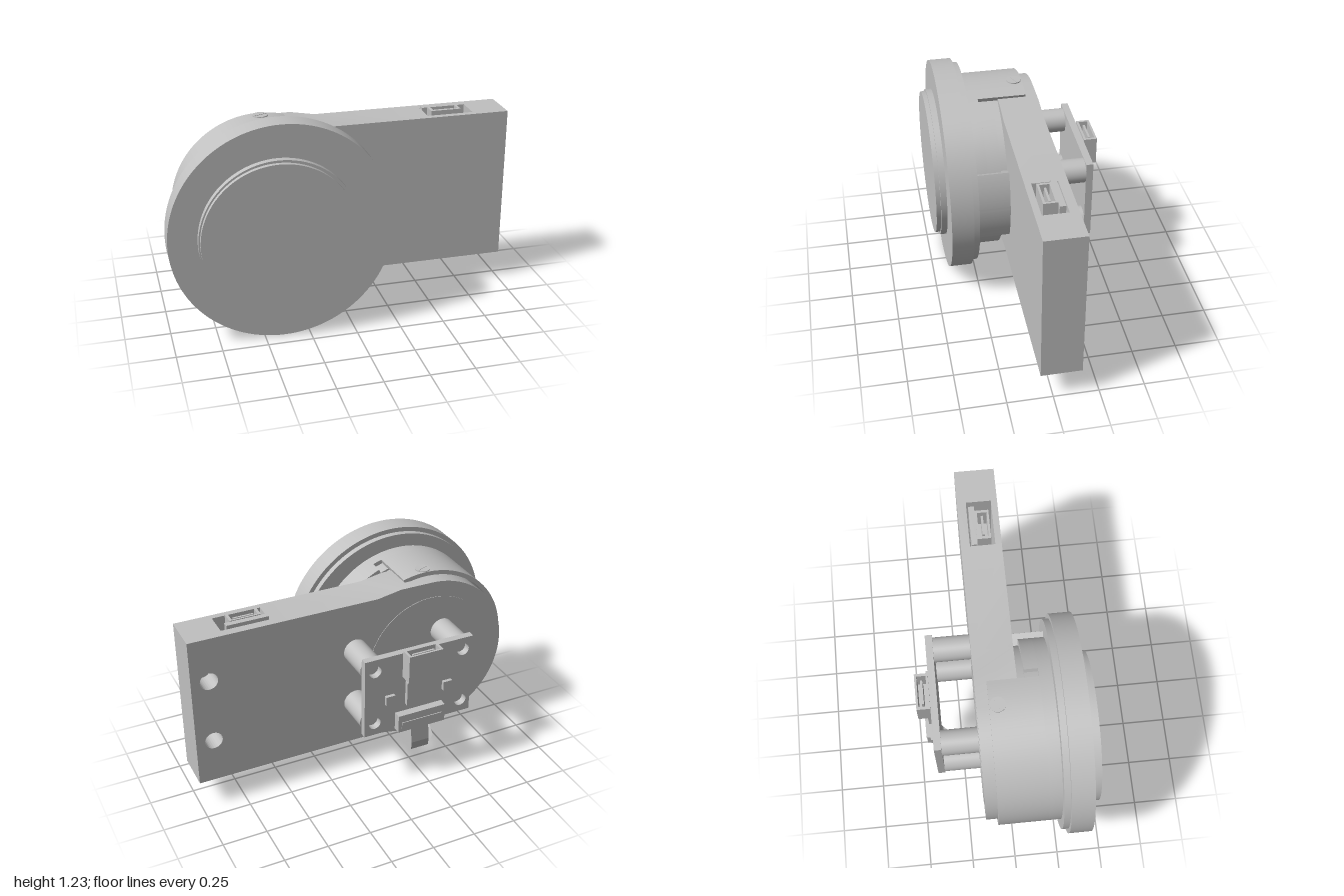
import * as THREE from 'three';
import { toCreasedNormals } from 'three/addons/utils/BufferGeometryUtils.js';

const CX = -0.41, CY = 0.617; // housing axis

export function createModel() {
  const model = new THREE.Group();
  model.name = 'wheelModule';
  const grey = new THREE.MeshStandardMaterial({ color: 0xc0c0c0, side: THREE.DoubleSide });
  grey.name = 'grey';

  function add(name, geometry, x = 0, y = 0, z = 0) {
    const mesh = new THREE.Mesh(geometry, grey);
    mesh.name = name;
    mesh.position.set(x, y, z);
    model.add(mesh);
    return mesh;
  }
  // box given by its limits
  const box = (name, x0, x1, y0, y1, z0, z1) =>
    add(name, new THREE.BoxGeometry(x1 - x0, y1 - y0, z1 - z0), (x0 + x1) / 2, (y0 + y1) / 2, (z0 + z1) / 2);
  // cylinder along z
  const disc = (name, x, y, r, z0, z1, seg = 96) =>
    add(name, new THREE.CylinderGeometry(r, r, z1 - z0, seg).rotateX(Math.PI / 2), x, y, (z0 + z1) / 2);
  // outline in xy, extruded along z
  const slab = (name, shape, z0, z1, x = 0, y = 0) =>
    add(name, toCreasedNormals(new THREE.ExtrudeGeometry(shape,
      { depth: z1 - z0, bevelEnabled: false, curveSegments: 48 }), 0.5), x, y, z0);
  // part of a ring around the housing axis, angles in degrees
  function ring(name, r0, r1, a0, a1, z0, z1) {
    const s = new THREE.Shape(), k = Math.PI / 180;
    s.absarc(0, 0, r1, a0 * k, a1 * k, false);
    s.absarc(0, 0, r0, a1 * k, a0 * k, true);
    s.closePath();
    slab(name, s, z0, z1, CX, CY);
  }
  function rect(x0, x1, y0, y1, holes, r) {
    const s = new THREE.Shape([[x0, y0], [x1, y0], [x1, y1], [x0, y1]].map(p => new THREE.Vector2(...p)));
    for (const [x, y] of holes) {
      const h = new THREE.Path();
      h.absarc(x, y, r, 0, Math.PI * 2, true);
      s.holes.push(h);
    }
    return s;
  }

  // wheel face and flange
  disc('flange', -0.387, CY, 0.613, 0.29, 0.415, 128);
  disc('flangeStep', -0.387, CY, 0.587, 0.255, 0.29, 128);
  disc('frontRing', CX, CY, 0.433, 0.415, 0.45);
  disc('frontLens', -0.415, CY, 0.42, 0.45, 0.475);

  // housing with its wrapped shell, cut away where the arm enters
  disc('housingCore', CX, CY, 0.473, 0.07, 0.255);
  ring('shellFront', 0.483, 0.508, 0, 360, 0.185, 0.255);
  ring('shellFill', 0.46, 0.484, 0, 360, 0.11, 0.255);
  ring('shellRight', 0.483, 0.508, -68, 68, 0.11, 0.185);
  ring('shellLeft', 0.483, 0.508, 74, 286, -0.09, 0.185);
  ring('sideBlock', 0.44, 0.54, -23.5, 23.5, 0.07, 0.255);

  // screws on the top and bottom of the shell
  for (const side of [1, -1]) {
    const y = CY + side * 0.506;
    add('screwHead', new THREE.CylinderGeometry(0.042, 0.042, 0.012, 32), CX, y, -0.045);
    const slot = add('screwSlot', new THREE.BoxGeometry(0.075, 0.004, 0.008), CX, y + side * 0.006, -0.045);
    slot.rotation.y = 0.4;
  }

  // arm body: straight beam, flared onto a round end
  const arm = new THREE.Shape();
  arm.moveTo(0.53, 0.17);
  arm.lineTo(0.53, 1.065);
  arm.lineTo(-0.08, 1.065);
  arm.lineTo(-0.22, 1.09);
  arm.lineTo(CX, 1.09);
  arm.absarc(CX, CY, 0.473, Math.PI / 2, Math.PI * 1.5, false);
  arm.lineTo(-0.22, 0.144);
  arm.lineTo(-0.08, 0.17);
  arm.closePath();
  slab('armBody', arm, -0.155, 0.07);
  disc('backCoverDisc', CX, CY, 0.38, -0.158, -0.15);

  // open channel through the arm, holding the connector
  box('channelBackWall', 0.53, 0.8, 0.17, 1.065, -0.155, -0.105);
  box('channelFrontWall', 0.53, 0.8, 0.17, 1.065, 0.035, 0.07);
  box('connectorBoard', 0.53, 0.765, 0.88, 1.08, -0.095, -0.062);
  slab('connectorShell', (() => {
    const s = rect(0.56, 0.735, -0.062, 0.015, [], 0);
    s.holes.push(new THREE.Path([[0.575, -0.05], [0.575, 0.003], [0.72, 0.003], [0.72, -0.05]]
      .map(p => new THREE.Vector2(...p))));
    return s;
  })(), 0, 0.18).rotation.x = Math.PI / 2;
  const shell = model.children[model.children.length - 1];
  shell.position.set(0, 1.084, 0);
  box('connectorTongue', 0.59, 0.705, 0.9, 1.075, -0.03, -0.018);
  box('connectorFloor', 0.56, 0.735, 0.9, 0.95, -0.062, 0.015);

  // end block with two blind mounting holes in its back
  slab('endBlockBack', rect(0.8, 1, 0.17, 1.065, [[0.9, 0.81], [0.9, 0.43]], 0.05), -0.155, -0.03);
  box('endBlockFront', 0.8, 1, 0.17, 1.065, -0.03, 0.07);

  // circuit board on four posts
  const posts = [];
  for (const x of [-0.485, 0.055]) for (const y of [0.44, 0.775]) posts.push([x, y]);
  for (const [x, y] of posts) disc('post', x, y, 0.07, -0.36, -0.155, 40);
  slab('circuitBoard', rect(-0.545, 0.117, 0.365, 0.85, posts, 0.036), -0.4, -0.36);

  // board components
  const port = slab('boardPort', (() => {
    const s = rect(-0.315, -0.11, -0.475, -0.4, [], 0);
    s.holes.push(new THREE.Path([[-0.3, -0.463], [-0.3, -0.412], [-0.125, -0.412], [-0.125, -0.463]]
      .map(p => new THREE.Vector2(...p))));
    return s;
  })(), 0, 0.165);
  port.rotation.x = Math.PI / 2;
  port.position.set(0, 0.865, 0);
  box('portTongue', -0.28, -0.145, 0.7, 0.855, -0.444, -0.432);
  box('portFloor', -0.31, -0.115, 0.701, 0.73, -0.47, -0.4);
  box('mainChip', -0.295, -0.13, 0.52, 0.665, -0.425, -0.4);
  box('leftChip', -0.06, -0.005, 0.55, 0.605, -0.42, -0.4);
  box('rightChip', -0.415, -0.36, 0.55, 0.605, -0.42, -0.4);
  box('ribbonSocket', -0.36, -0.07, 0.368, 0.475, -0.445, -0.4);
  box('ribbonLatch', -0.34, -0.09, 0.39, 0.43, -0.45, -0.44);

  // flat ribbon cable curling from the socket into the arm: x, y, z of its centre line
  const path = [[-0.215, 0.38, -0.42], [-0.225, 0.25, -0.42], [-0.26, 0.15, -0.355],
    [-0.345, 0.13, -0.26], [-0.37, 0.143, -0.175], [-0.37, 0.18, -0.15]];
  const ribbon = new THREE.PlaneGeometry(1, 1, 1, path.length - 1);
  path.forEach(([x, y, z], i) => {
    ribbon.attributes.position.setXYZ(i * 2, x - 0.055, y, z);
    ribbon.attributes.position.setXYZ(i * 2 + 1, x + 0.055, y, z);
  });
  add('ribbonCable', toCreasedNormals(ribbon, 0.1));

  return model;
}
